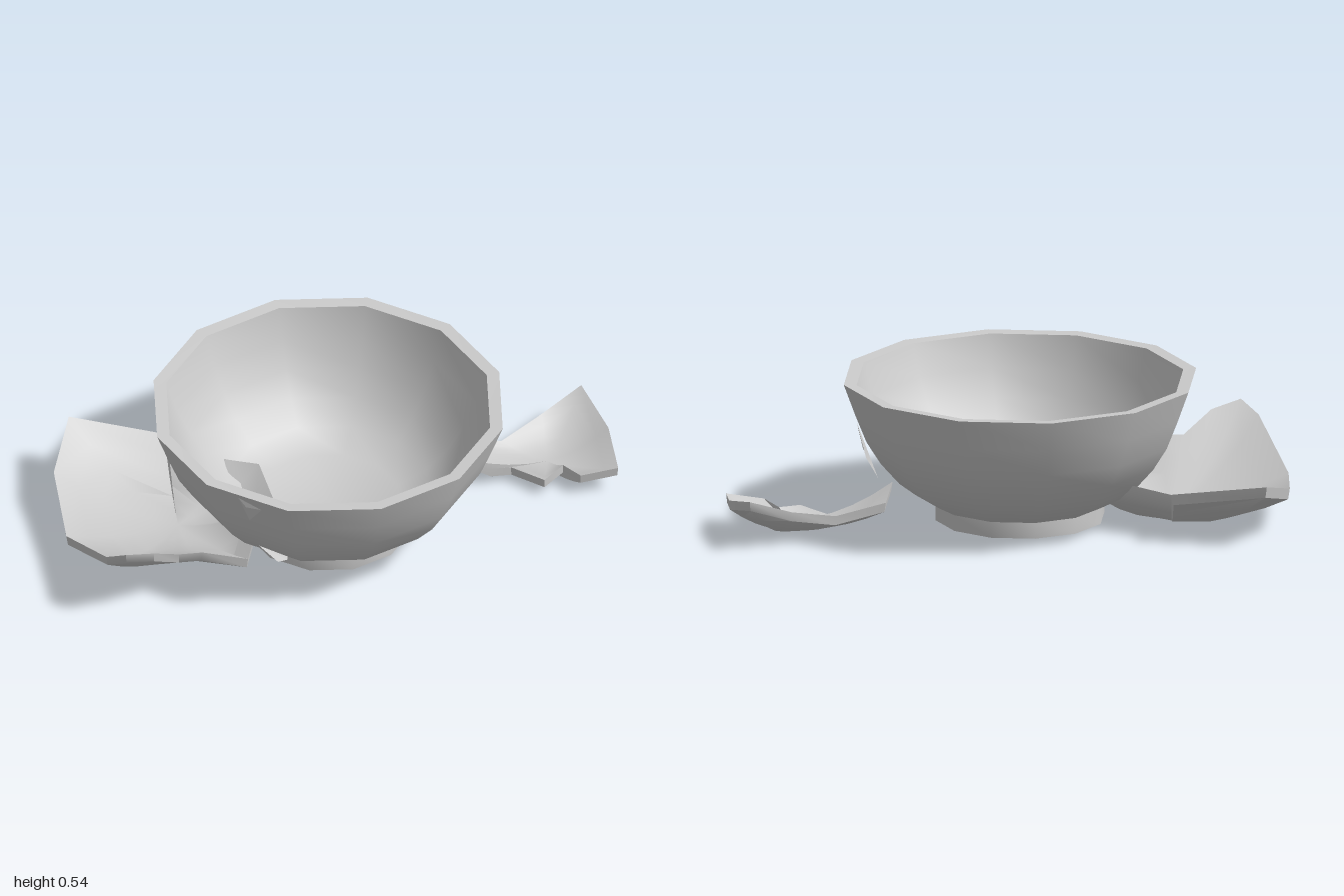
import * as THREE from 'three';
import { toCreasedNormals } from 'three/addons/utils/BufferGeometryUtils.js';

const material = new THREE.MeshStandardMaterial({ color: 0xcccccc, side: THREE.DoubleSide });

function part(name, geometry, crease) {
  const mesh = new THREE.Mesh(toCreasedNormals(geometry, crease), material);
  mesh.name = name;
  return mesh;
}

function fromTriangles(points, index) {
  const g = new THREE.BufferGeometry();
  g.setAttribute('position', new THREE.Float32BufferAttribute(points.flat(), 3));
  g.setIndex(index);
  return g;
}

// Curved broken piece: dished from a low centre up to a jagged edge [x, y, z]
function shard(name, centre, edge, thickness) {
  const rings = 5, n = edge.length, points = [], index = [];
  const layer = 1 + rings * n;
  for (const drop of [0, thickness]) {
    points.push([centre[0], centre[1] - drop, centre[2]]);
    for (let r = 1; r <= rings; r++) {
      const t = r / rings;
      for (const [x, y, z] of edge) {
        const s = drop ? t * 0.985 : t;
        points.push([
          centre[0] + (x - centre[0]) * s,
          centre[1] + (y - centre[1]) * t * t - drop,
          centre[2] + (z - centre[2]) * s,
        ]);
      }
    }
  }
  const id = (side, r, i) => side * layer + 1 + (r - 1) * n + (i % n);
  for (let i = 0; i < n; i++) {
    for (let side = 0; side < 2; side++) {
      const tri = (a, b, c) => index.push(...(side ? [a, c, b] : [a, b, c]));
      tri(side * layer, id(side, 1, i), id(side, 1, i + 1));
      for (let r = 1; r < rings; r++) {
        tri(id(side, r, i), id(side, r + 1, i), id(side, r + 1, i + 1));
        tri(id(side, r, i), id(side, r + 1, i + 1), id(side, r, i + 1));
      }
    }
    // Broken edge joining the upper and lower faces
    const a = id(0, rings, i), b = id(0, rings, i + 1);
    const c = id(1, rings, i), d = id(1, rings, i + 1);
    index.push(a, c, d, a, d, b);
  }
  return part(name, fromTriangles(points, index), 0.8);
}

// Thin splinter lying on the wall, as a fan of corners
function splinter(name, corners) {
  const index = [];
  for (let i = 1; i < corners.length - 1; i++) index.push(0, i, i + 1);
  return part(name, fromTriangles(corners, index), 0.3);
}

export function createModel() {
  const group = new THREE.Group();

  // Twelve-sided bowl with a recessed foot
  const profile = [
    [0, 0.05], [0.25, 0.05], [0.27, 0.01], [0.315, 0.01], [0.315, 0.07],
    [0.39, 0.11], [0.45, 0.155], [0.52, 0.235], [0.573, 0.32], [0.615, 0.425], [0.658, 0.543],
    [0.61, 0.54], [0.57, 0.42], [0.52, 0.32], [0.46, 0.23], [0.38, 0.155], [0.27, 0.105], [0, 0.09],
  ].map(([r, y]) => new THREE.Vector2(r, y));
  group.add(part('bowl', new THREE.LatheGeometry(profile, 12), 0.9));

  // Large shard lodged in the right-hand wall
  group.add(shard('largeShard', [-0.52, 0.045, 0.2], [
    [-1, 0.24, -0.1], [-1, 0.17, 0.15], [-0.88, 0.135, 0.47], [-0.67, 0.27, 0.73],
    [-0.59, 0.315, 0.76], [-0.5, 0.285, 0.69], [-0.43, 0.21, 0.58], [-0.35, 0.21, 0.55],
    [-0.2, 0.13, 0.45], [-0.2, 0.16, 0.31], [-0.23, 0.17, 0.2], [-0.17, 0.18, 0.15],
    [-0.27, 0.19, -0.04], [-0.38, 0.19, -0.04], [-0.62, 0.17, -0.08], [-0.65, 0.19, -0.14],
  ], 0.042));

  // Small jagged shard behind the left-hand wall
  group.add(shard('smallShard', [0.72, 0.05, -0.47], [
    [0.78, 0.19, -0.765], [0.66, 0.13, -0.64], [0.54, 0.09, -0.5], [0.38, 0.13, -0.4],
    [0.4, 0.175, -0.27], [0.53, 0.07, -0.35], [0.6, 0.06, -0.39], [0.74, 0.07, -0.33],
    [0.79, 0.08, -0.42], [0.87, 0.09, -0.36], [1, 0.11, -0.41], [0.92, 0.14, -0.6],
  ], 0.035));

  // Splinters showing at the cracks in the wall and floor
  group.add(splinter('frontSplinter', [
    [-0.2, 0.535, 0.61], [-0.16, 0.43, 0.6], [-0.11, 0.5, 0.62], [-0.17, 0.5, 0.615],
  ]));
  group.add(splinter('sideSplinter', [
    [0.48, 0.44, -0.44], [0.48, 0.32, -0.37], [0.44, 0.2, -0.32], [0.45, 0.3, -0.42],
  ]));
  group.add(splinter('floorSplinter', [
    [-0.1, 0.1, 0.04], [-0.07, 0.1, 0.09], [0.02, 0.1, 0.07], [0.12, 0.1, 0.05],
  ]));
  group.add(splinter('innerSplinter', [
    [-0.17, 0.19, 0.43], [-0.08, 0.16, 0.48], [-0.05, 0.16, 0.46], [-0.06, 0.15, 0.37], [-0.1, 0.18, 0.43],
  ]));
  return group;
}
